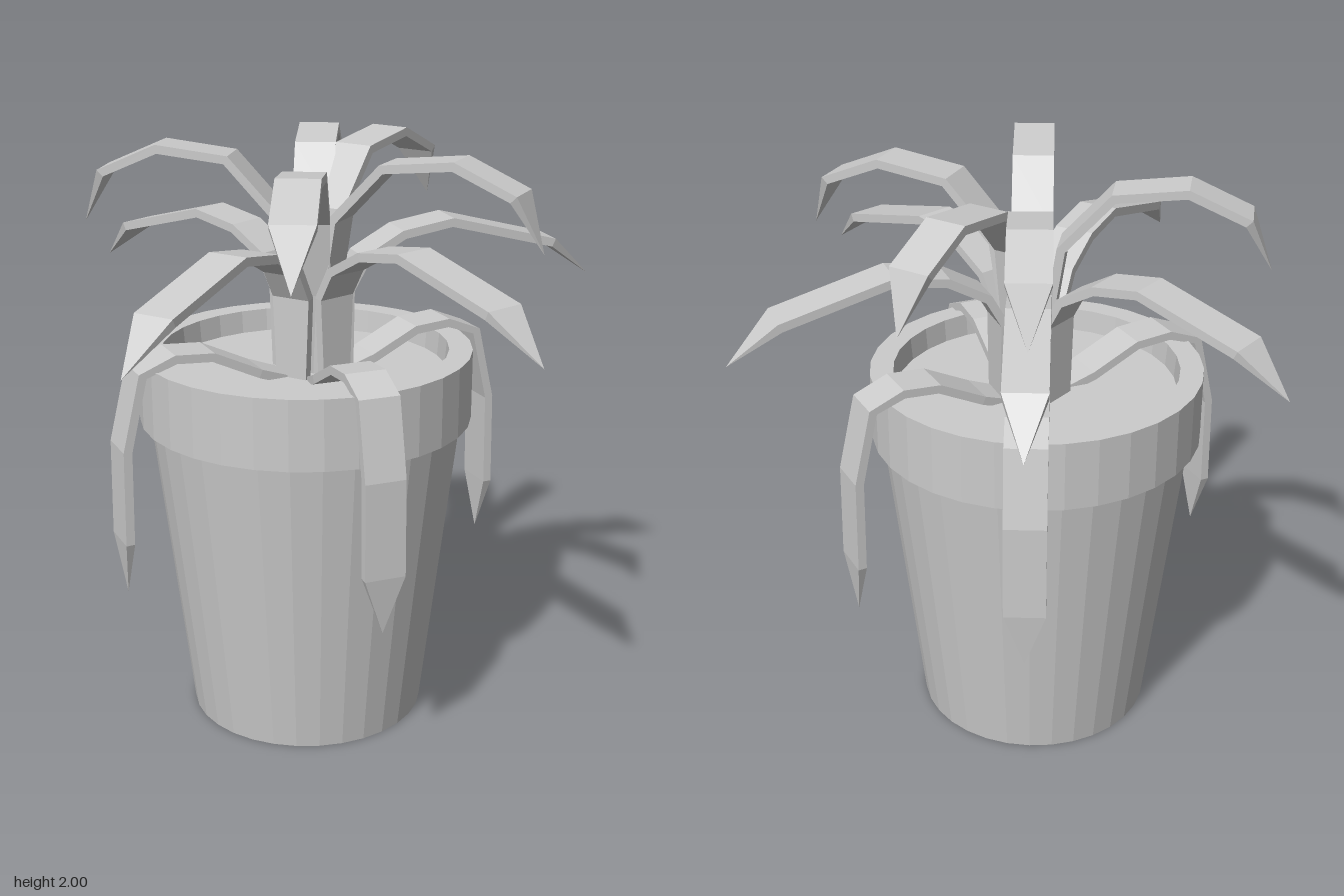
import * as THREE from 'three';

const grey = new THREE.MeshStandardMaterial({ color: 0xcccccc, flatShading: true, side: THREE.DoubleSide });

// Side profiles [reach, height], from the soil to the tip
const UPPER = [[0.03, 1.2], [0.05, 1.52], [0.09, 1.78], [0.26, 1.97], [0.5, 2.0], [0.7, 1.91], [0.77, 1.72]];
const MIDDLE = [[0.1, 1.2], [0.1, 1.52], [0.16, 1.63], [0.3, 1.71], [0.48, 1.74], [0.86, 1.64], [1.02, 1.49]];
const LOWER = [[0.04, 1.22], [0.2, 1.28], [0.36, 1.36], [0.49, 1.37], [0.61, 1.32], [0.67, 1.06], [0.675, 0.73], [0.655, 0.53]];

// A thin bent blade along +x, with four corners at each profile point and a pointed tip
function leafGeometry(profile, reach, width, thickness) {
  const last = profile.length - 1;
  const k = reach / profile[last][0];
  const pts = profile.map(([r, y]) => new THREE.Vector2(r * k, y));
  const rings = pts.map((p, i) => {
    const d = pts[Math.min(i + 1, last)].clone().sub(pts[Math.max(i - 1, 0)]).normalize();
    const t = i === last ? 0 : thickness;
    const w = i === last ? 0 : (width / 2) * (i === 0 ? 0.8 : 1);
    const bx = p.x + d.y * t, by = p.y - d.x * t;
    return [[p.x, p.y, w], [p.x, p.y, -w], [bx, by, -w], [bx, by, w]];
  });
  const pos = [];
  for (let i = 0; i < last; i++) {
    for (let j = 0; j < 4; j++) {
      const n = (j + 1) % 4;
      const a = rings[i][j], b = rings[i + 1][j], c = rings[i + 1][n], d = rings[i][n];
      pos.push(...a, ...b, ...c, ...a, ...c, ...d);
    }
  }
  const geo = new THREE.BufferGeometry();
  geo.setAttribute('position', new THREE.Float32BufferAttribute(pos, 3));
  geo.computeVertexNormals();
  return geo;
}

// One ring of leaves, each aimed at the x, z of its tip
function leafTier(name, profile, tips) {
  const tier = new THREE.Group();
  tier.name = name;
  const cx = -0.07, cz = 0.02;
  for (const [x, z] of tips) {
    const reach = Math.hypot(x - cx, z - cz);
    const leaf = new THREE.Mesh(leafGeometry(profile, reach, 0.14, 0.03), grey);
    leaf.name = 'leaf';
    leaf.position.set(cx, 0, cz);
    leaf.rotation.y = -Math.atan2(z - cz, x - cx);
    tier.add(leaf);
  }
  return tier;
}

export function createModel() {
  const model = new THREE.Group();
  model.name = 'pottedPlant';

  // Tapered pot with a stepped, hollow rim
  const outline = [[0, 0], [0.41, 0], [0.535, 1.08], [0.57, 1.08], [0.57, 1.32], [0.49, 1.32], [0.48, 1.2]];
  const pot = new THREE.Mesh(new THREE.LatheGeometry(outline.map(p => new THREE.Vector2(...p)), 32), grey);
  pot.name = 'pot';
  pot.position.set(-0.09, 0, 0.03);
  model.add(pot);

  // Soil surface inside the rim
  const soil = new THREE.Mesh(new THREE.CircleGeometry(0.485, 32), grey);
  soil.name = 'soil';
  soil.rotation.x = -Math.PI / 2;
  soil.position.set(-0.09, 1.24, 0.03);
  model.add(soil);

  model.add(
    leafTier('upperLeaves', UPPER, [[-0.85, -0.06], [-0.05, 0.86], [0.69, 0.31], [0.3, -0.64], [-0.09, -0.72]]),
    leafTier('middleLeaves', MIDDLE, [[-0.88, -0.54], [0.88, -0.39], [-0.53, 0.96], [0.68, 0.76], [-0.09, -0.97]]),
    leafTier('lowerLeaves', LOWER, [[-0.67, 0.36], [0.21, 0.6], [0.51, -0.31], [-0.08, -0.61]])
  );
  return model;
}
